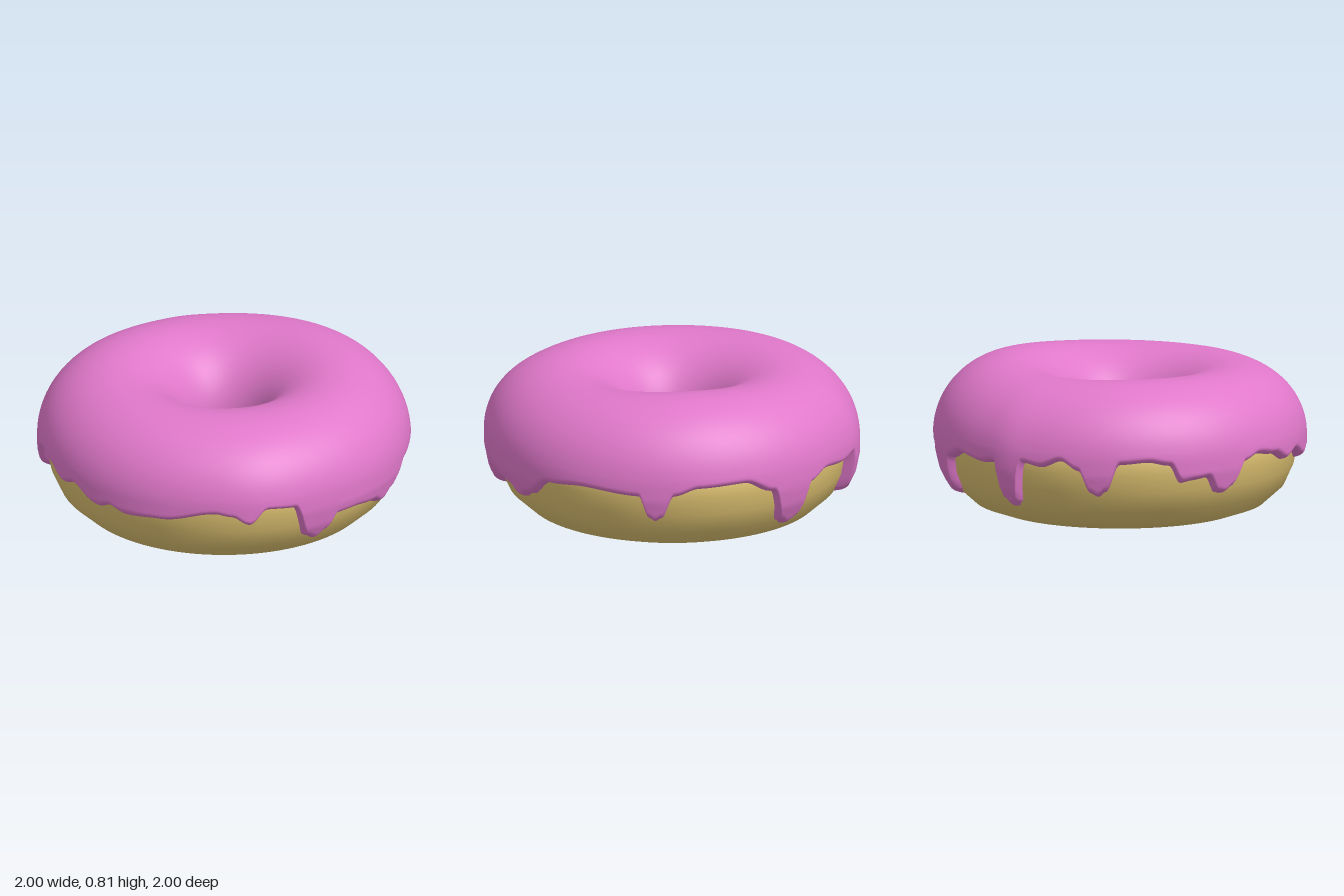
import * as THREE from 'three';

const icingPink = new THREE.MeshStandardMaterial({ color: 0xe078ca, name: 'icingPink' });
const doughTan = new THREE.MeshStandardMaterial({ color: 0xdcc070, name: 'doughTan' });

// Dough cross-section [radius, y], running outward along the base, up and back inside
const DOUGH = [
  [0.24, 0.30], [0.25, 0.22], [0.29, 0.13], [0.38, 0.04], [0.50, 0], [0.665, 0], [0.78, 0.04],
  [0.88, 0.13], [0.93, 0.24], [0.95, 0.34], [0.95, 0.42], [0.90, 0.55], [0.75, 0.70],
  [0.58, 0.73], [0.40, 0.70], [0.28, 0.55], [0.24, 0.42], [0.24, 0.30],
];

// Lower icing edge: [angle in degrees from the front towards +x, y]
const EDGE = [
  [-6, 0.29], [6, 0.305], [24, 0.365], [29, 0.35], [34.5, 0.30], [40, 0.385], [49, 0.375],
  [54.5, 0.17], [58, 0.14], [61, 0.18], [65, 0.27], [72, 0.27], [82, 0.25], [87, 0.21], [92, 0.25],
  [102, 0.355], [115, 0.375], [134, 0.355], [137, 0.23], [139, 0.21], [141, 0.23],
  [145, 0.36], [153, 0.40], [168, 0.41], [178, 0.34], [183, 0.14], [186, 0.11], [189.5, 0.14],
  [193, 0.33], [201, 0.375], [212, 0.355], [219, 0.37], [221.5, 0.16], [223.5, 0.13], [225.5, 0.16],
  [229, 0.385], [235, 0.37], [242, 0.41], [248, 0.36], [251.5, 0.24], [254, 0.22], [256.5, 0.25],
  [261, 0.40], [270, 0.41], [277, 0.39], [281, 0.29], [285, 0.30], [290, 0.31],
  [294, 0.22], [296.5, 0.21], [299, 0.24], [304, 0.37], [310, 0.40], [318, 0.38], [326, 0.33],
  [332, 0.36], [343, 0.29], [348, 0.32], [354, 0.29],
];

function edgeY(deg) {
  const a = deg > 354 ? deg - 360 : deg;
  const i = EDGE.findIndex((p, k) => k > 0 && p[0] >= a);
  const [a0, y0] = EDGE[i - 1], [a1, y1] = EDGE[i];
  return y0 + (y1 - y0) * THREE.MathUtils.smoothstep(a, a0, a1);
}

// Radius of the outer dough wall at a height below its widest point
function doughRadius(y) {
  let i = 6;
  while (i < 10 && DOUGH[i][1] < y) i++;
  const [r0, y0] = DOUGH[i - 1], [r1, y1] = DOUGH[i];
  return r0 + (r1 - r0) * (y - y0) / (y1 - y0);
}

const hump = (deg, centre, width) => {
  const d = ((deg - centre + 540) % 360) - 180;
  return Math.exp(-d * d / (width * width));
};

// Icing cross-section at one angle: rounded lip, outer skirt, dome, inner lip
function icingProfile(deg) {
  const top = 0.778 + 0.034 * hump(deg, 153, 45) + 0.013 * hump(deg, 275, 40);
  const rise = top - 0.4, t0 = 0.16, skirtTop = 0.4 + rise * Math.sin(t0);
  const bulge = 0.025 * hump(deg, 37, 16) + 0.015 * hump(deg, 223, 8);
  const e = edgeY(deg), points = [];
  for (let k = 0; k < 18; k++) {
    const y = e + (skirtTop - e) * (k / 18) ** 2;
    const outer = y > 0.4 ? 0.6 + 0.4 * Math.sqrt(1 - ((y - 0.4) / rise) ** 2) : doughRadius(y) + 0.05;
    const lip = 1 - Math.min((y - e) / 0.04, 1);
    points.push([outer + bulge - (0.06 + bulge) * (1 - Math.sqrt(1 - lip * lip)), y]);
  }
  for (let k = 0; k <= 40; k++) {
    const t = t0 + (Math.PI - t0) * k / 40;
    points.push([0.6 + 0.4 * Math.cos(t) + bulge * Math.max(0, Math.cos(t)), 0.4 + rise * Math.sin(t)]);
  }
  const w = 0.012 * Math.sin(deg * Math.PI / 36) + 0.008 * Math.sin(deg * Math.PI / 20);
  points.push([0.2, 0.375 + w], [0.207, 0.355 + w], [0.22, 0.347 + w], [0.25, 0.35 + w]);
  return points;
}

function icingGeometry(segments) {
  const positions = [], index = [];
  let rows = 0;
  for (let i = 0; i < segments; i++) {
    const a = i / segments * Math.PI * 2, profile = icingProfile(i / segments * 360);
    rows = profile.length;
    for (const [r, y] of profile) positions.push(r * Math.sin(a), y, r * Math.cos(a));
  }
  for (let i = 0; i < segments; i++) {
    const p = i * rows, q = ((i + 1) % segments) * rows;
    for (let j = 0; j < rows - 1; j++) index.push(p + j, q + j, q + j + 1, p + j, q + j + 1, p + j + 1);
  }
  const g = new THREE.BufferGeometry();
  g.setAttribute('position', new THREE.Float32BufferAttribute(positions, 3));
  g.setIndex(index);
  g.computeVertexNormals();
  return g;
}

export function createModel() {
  const group = new THREE.Group();
  group.name = 'doughnut';

  const dough = new THREE.Mesh(
    new THREE.LatheGeometry(DOUGH.map(([r, y]) => new THREE.Vector2(r, y)), 96), doughTan);
  dough.name = 'dough';

  const icing = new THREE.Mesh(icingGeometry(540), icingPink);
  icing.name = 'icing';

  group.add(dough, icing);
  return group;
}
